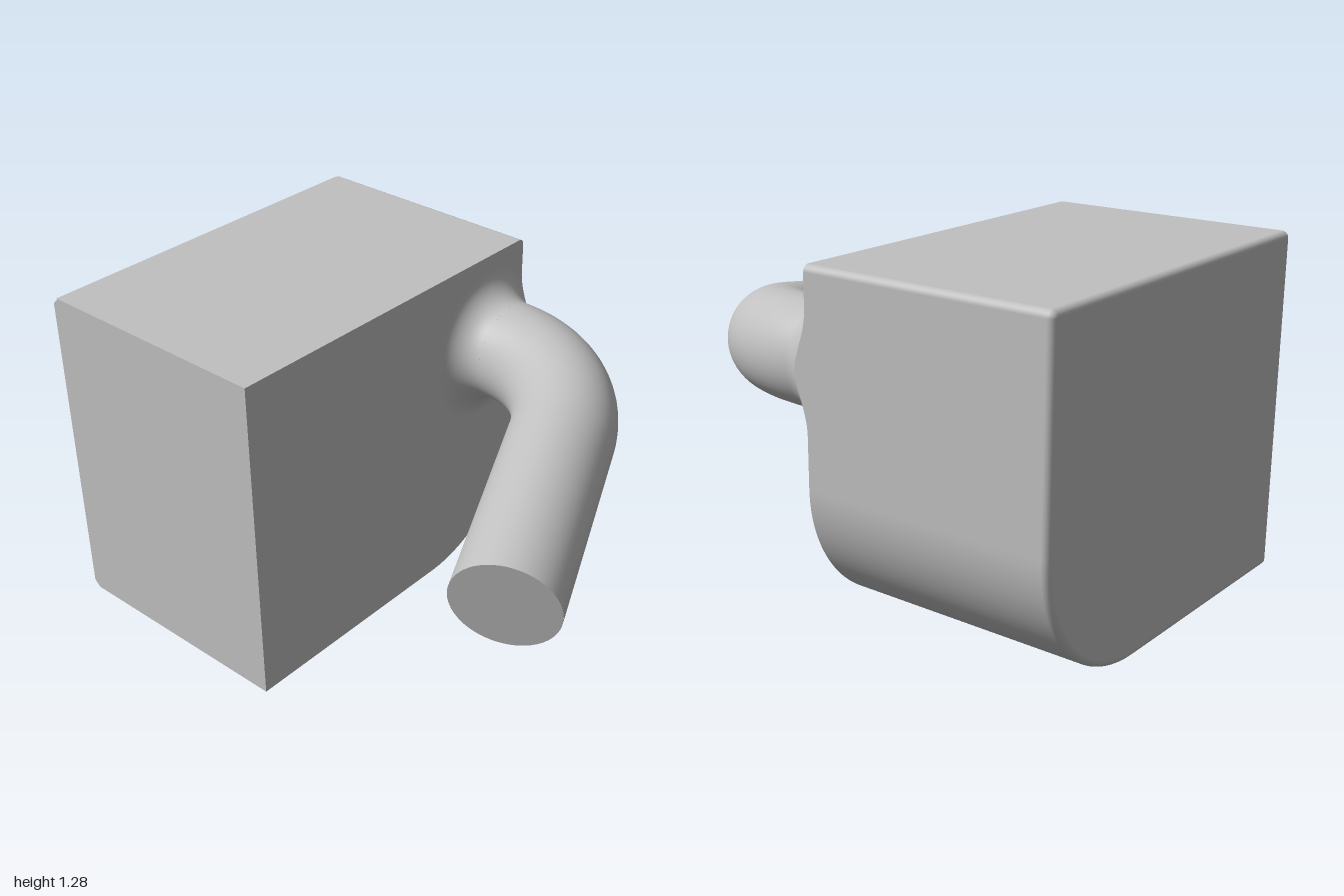
import * as THREE from 'three';

const V = (x, y, z) => new THREE.Vector3(x, y, z);
const W = 0.73, H = 1.28, FRONT = -0.04, BACK = -1, EDGE = 0.025, CORNER = 0.52;
const CX = 0.523, CY = 0.92, R = 0.19, FILLET = 0.11, BEND = 0.49, STRAIGHT = 0.78;
const BEND_ANGLE = THREE.MathUtils.degToRad(67.5);

// Grid surface from a rule giving [point, normal]; triangles wind to match the normals
function surface(nu, nv, rule) {
  const points = [], normals = [], index = [];
  for (let j = 0; j <= nv; j++) {
    for (let i = 0; i <= nu; i++) {
      const [p, n] = rule(i, j);
      points.push(p);
      normals.push(n.normalize());
    }
  }
  const face = (a, b, c) => {
    const g = V().subVectors(points[b], points[a]).cross(V().subVectors(points[c], points[a]));
    const n = normals[a].clone().add(normals[b]).add(normals[c]);
    if (g.lengthSq() < 1e-16) return;
    if (g.dot(n) > 0) index.push(a, b, c);
    else index.push(a, c, b);
  };
  for (let j = 0; j < nv; j++) {
    for (let i = 0; i < nu; i++) {
      const a = j * (nu + 1) + i, c = a + nu + 1;
      face(a, a + 1, c);
      face(a + 1, c + 1, c);
    }
  }
  const geometry = new THREE.BufferGeometry().setFromPoints(points);
  geometry.setAttribute('normal', new THREE.Float32BufferAttribute(normals.flatMap((n) => n.toArray()), 3));
  geometry.setIndex(index);
  return geometry;
}

// Block outline, running bottom, right, top; each entry is [x, y, nx, ny]
function blockOutline() {
  const outline = [[-W, 0, 0, -1]];
  const arc = (cx, cy, r, from, steps) => {
    for (let i = 0; i <= steps; i++) {
      const a = from + (i / steps) * Math.PI / 2;
      outline.push([cx + r * Math.cos(a), cy + r * Math.sin(a), Math.cos(a), Math.sin(a)]);
    }
  };
  arc(W - CORNER, CORNER, CORNER, -Math.PI / 2, 40);
  arc(W - EDGE, H - EDGE, EDGE, 0, 8);
  outline.push([-W, H, 0, 1]);
  return outline;
}

export function createModel() {
  const model = new THREE.Group();
  const grey = new THREE.MeshStandardMaterial({ color: 0xc0c0c0 });
  grey.name = 'light grey';
  const add = (parent, name, geometry) => {
    const mesh = new THREE.Mesh(geometry, grey);
    mesh.name = name;
    parent.add(mesh);
    return mesh;
  };

  // Block: wall with a rounded back edge, then flat faces
  const block = new THREE.Group();
  block.name = 'block';
  model.add(block);
  const outline = blockOutline();
  const steps = 8;
  add(block, 'blockWall', surface(outline.length - 1, steps + 1, (i, j) => {
    const [x, y, nx, ny] = outline[i];
    const b = Math.max(0, j - 1) / steps * Math.PI / 2;
    const inset = EDGE * (1 - Math.cos(b));
    const z = j === 0 ? FRONT : BACK + EDGE * (1 - Math.sin(b));
    return [V(x - nx * inset, y - ny * inset, z), V(nx * Math.cos(b), ny * Math.cos(b), -Math.sin(b))];
  }));
  const flat = (inset) => new THREE.ShapeGeometry(new THREE.Shape(
    outline.map(([x, y, nx, ny]) => new THREE.Vector2(x - nx * inset, y - ny * inset))));
  add(block, 'blockFront', flat(0).translate(0, 0, FRONT));
  const back = flat(EDGE).translate(0, 0, BACK);
  const order = back.index.array;
  for (let i = 0; i < order.length; i += 3) [order[i], order[i + 1]] = [order[i + 1], order[i]];
  back.computeVertexNormals();
  add(block, 'blockBack', back);
  const side = new THREE.Shape([[FRONT, 0], [FRONT, H], [BACK + EDGE, H], [BACK, H - EDGE],
    [BACK, EDGE], [BACK + EDGE, 0]].map(([z, y]) => new THREE.Vector2(z, y)));
  add(block, 'blockSide', new THREE.ShapeGeometry(side).rotateY(-Math.PI / 2).translate(-W, 0, 0));

  // Pipe: a bend followed by a straight run, in a plane tilted slightly downwards
  const pipe = new THREE.Group();
  pipe.name = 'pipe';
  model.add(pipe);
  const out = V(-1, -0.218, 0).normalize();
  const start = V(CX, CY, FRONT + FILLET);
  const across = V(0, 0, 1).cross(out);
  const bendSteps = 40, around = 64;
  const station = (j) => {
    const a = Math.min(j / bendSteps, 1) * BEND_ANGLE;
    const dir = out.clone().multiplyScalar(Math.sin(a)).add(V(0, 0, Math.cos(a)));
    const p = start.clone().addScaledVector(out, BEND * (1 - Math.cos(a))).add(V(0, 0, BEND * Math.sin(a)));
    if (j > bendSteps) p.addScaledVector(dir, STRAIGHT);
    return { p, dir, inner: across.clone().cross(dir) };
  };
  add(pipe, 'pipeTube', surface(around, bendSteps + 1, (i, j) => {
    const { p, inner } = station(j);
    const a = (i / around) * Math.PI * 2;
    const n = inner.multiplyScalar(Math.cos(a)).addScaledVector(across, Math.sin(a));
    return [p.addScaledVector(n, R), n.clone()];
  }));
  const end = station(bendSteps + 1);
  const cap = add(pipe, 'pipeEnd', new THREE.CircleGeometry(R, around));
  cap.position.copy(end.p);
  cap.quaternion.setFromUnitVectors(V(0, 0, 1), end.dir);

  // Flared root of the pipe, cut off flush with the block's side
  const rootStart = (theta) => {
    const limit = Math.cos(theta) > 0 ? (W - CX) / Math.cos(theta) : Infinity;
    return limit < R + FILLET ? Math.asin(1 - (limit - R) / FILLET) : 0;
  };
  const rootPoint = (theta, a) => {
    const d = R + FILLET * (1 - Math.sin(a));
    return V(CX + d * Math.cos(theta), CY + d * Math.sin(theta), FRONT + FILLET * (1 - Math.cos(a)));
  };
  add(pipe, 'pipeRoot', surface(128, 16, (i, j) => {
    const theta = -Math.PI + (i / 128) * Math.PI * 2;
    const a0 = rootStart(theta);
    const a = a0 + (Math.PI / 2 - a0) * j / 16;
    return [rootPoint(theta, a),
      V(Math.cos(theta) * Math.sin(a), Math.sin(theta) * Math.sin(a), Math.cos(a))];
  }));
  const spread = Math.acos((W - CX) / (R + FILLET));
  add(pipe, 'pipeRootSide', surface(48, 1, (i, j) => {
    const theta = spread * (i / 24 - 1);
    const p = rootPoint(theta, rootStart(theta));
    p.x = W;
    if (j === 0) p.z = FRONT;
    return [p, V(1, 0, 0)];
  }));

  return model;
}
